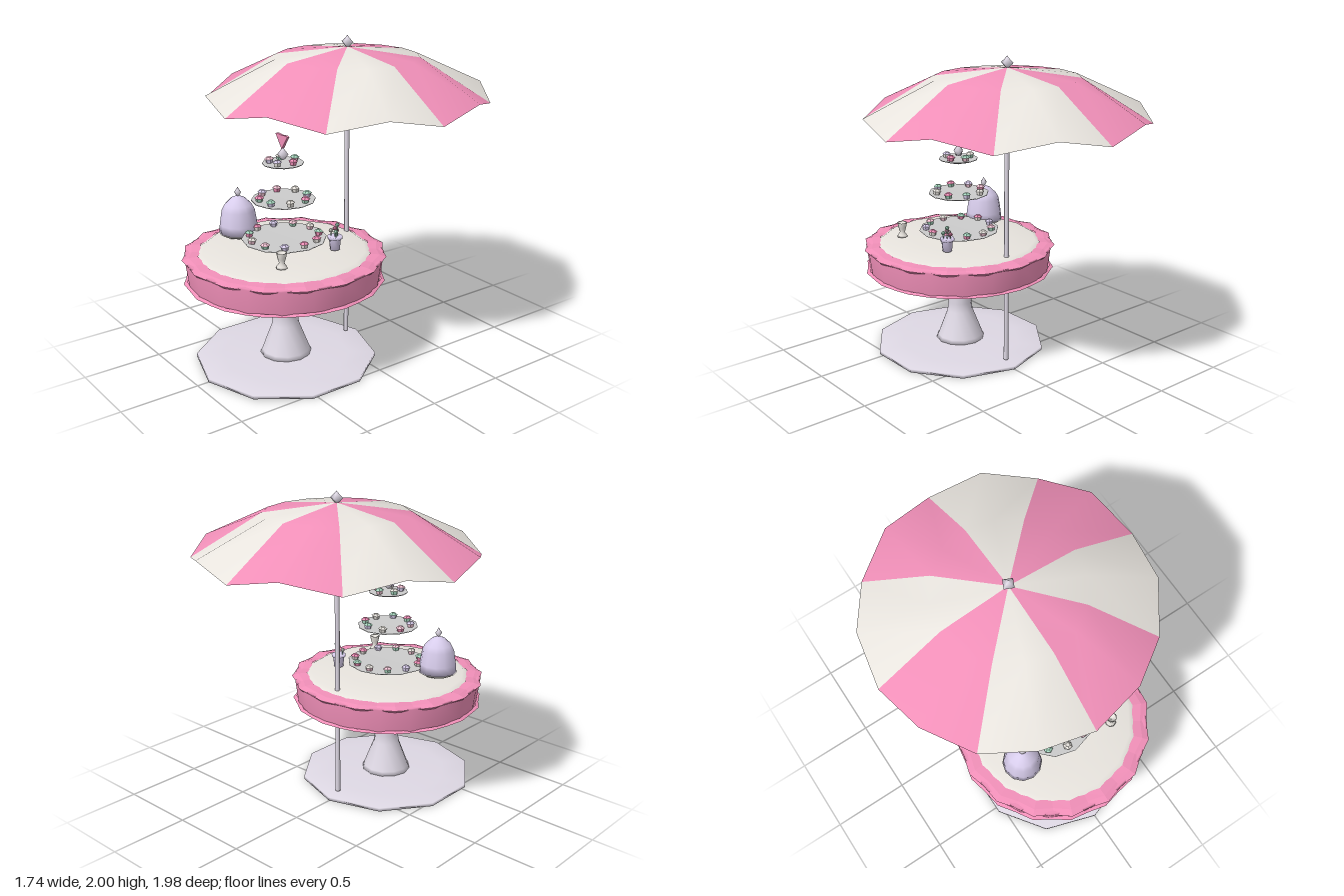
import * as THREE from 'three';

const mat = (color, flat = false) =>
  new THREE.MeshStandardMaterial({ color, flatShading: flat, side: THREE.DoubleSide });
const PINK = 0xf08fb8, CREAM = 0xe8e4de, PORCELAIN = 0xded8e4, LILAC = 0xd8cdec, MINT = 0xa8d8c0, SILVER = 0xcccccc;
const TABLE_Z = 0.36, POLE_Z = -0.12;

export function createModel() {
  const root = new THREE.Group();

  const add = (name, geo, color, x = 0, y = 0, z = 0, parent = root, flat = false) => {
    const m = new THREE.Mesh(geo, mat(color, flat));
    m.name = name;
    m.position.set(x, y, z);
    parent.add(m);
    return m;
  };
  const lathe = (pts, n) => new THREE.LatheGeometry(pts.map(p => new THREE.Vector2(...p)), n);
  const diamond = (name, y0, y1, r, x, z, n = 6) => {
    const h = y1 - y0;
    const m = add(name, lathe([[0, 0], [r * 0.45, h * 0.12], [r, h * 0.45], [r * 0.4, h * 0.75], [0, h]], n), PORCELAIN, x, y0, z);
    m.rotation.y = 0.35;
    return m;
  };

  // Base and pedestal
  add('baseDisc', lathe([[0.17, 0.033], [0.4, 0.012], [0.565, 0.004], [0.565, 0.026], [0.4, 0.036], [0.16, 0.045], [0, 0.045]], 10),
    PORCELAIN, 0, 0, TABLE_Z);
  add('pedestal', lathe([[0, 0.035], [0.165, 0.038], [0.15, 0.07], [0.085, 0.24], [0.078, 0.3], [0.072, 0.57]], 12),
    PORCELAIN, 0, 0, TABLE_Z);

  // Table drum with its cloth
  add('tableDrum', lathe([[0, 0.565], [0.59, 0.565], [0.592, 0.565], [0.612, 0.715], [0.6, 0.72], [0.4, 0.72]], 20),
    PINK, 0, 0, TABLE_Z);
  add('tableCloth', lathe([[0.54, 0.722], [0.5, 0.745], [0.3, 0.76], [0, 0.768]], 16), CREAM, 0, 0, TABLE_Z);

  // Ruffles: rings whose edges zigzag in and out
  const ruffle = (name, pts, n, amp) => {
    const g = lathe(pts, n), p = g.attributes.position;
    for (let i = 0; i < p.count; i++) {
      const j = Math.floor(i / pts.length) % n;
      const k = 1 + amp * (j % 2 ? -1 : 1);
      p.setX(i, p.getX(i) * k);
      p.setZ(i, p.getZ(i) * k);
      p.setY(i, p.getY(i) + (j % 2 ? -0.004 : 0.003));
    }
    g.computeVertexNormals();
    add(name, g, PINK, 0, 0, TABLE_Z, root, true);
  };
  ruffle('topRuffle', [[0.602, 0.7], [0.617, 0.716], [0.575, 0.728], [0.52, 0.732]], 32, 0.018);
  ruffle('hemRuffle', [[0.58, 0.562], [0.612, 0.562], [0.59, 0.572]], 32, 0.014);

  // Parasol: pole, eight panels and finial
  add('parasolPole', new THREE.CylinderGeometry(0.015, 0.015, 1.67, 8), PORCELAIN, 0, 0.88, POLE_Z);
  const parasol = new THREE.Group();
  parasol.name = 'parasol';
  parasol.position.z = POLE_Z;
  root.add(parasol);
  for (let s = 0; s < 8; s++) {
    const pos = [0, 1.93, 0], idx = [];
    // ring radius, rib height, mid-panel height
    for (const [r, yRib, yMid] of [[0.44, 1.875, 1.875], [0.868, 1.61, 1.675]]) {
      for (let k = 0; k < 3; k++) {
        const a = (s + k / 2) * Math.PI / 4;
        pos.push(r * Math.cos(a), k === 1 ? yMid : yRib, r * Math.sin(a));
      }
    }
    for (let k = 1; k < 3; k++) idx.push(0, k + 1, k, k, k + 1, k + 4, k, k + 4, k + 3);
    const g = new THREE.BufferGeometry();
    g.setAttribute('position', new THREE.Float32BufferAttribute(pos, 3));
    g.setIndex(idx);
    g.computeVertexNormals();
    add('parasolPanel', g, s % 2 ? PINK : CREAM, 0, 0, 0, parasol);
  }
  diamond('parasolFinial', 1.925, 2.0, 0.042, 0, POLE_Z, 4);

  // Three tiers of plates, each with a ring of small cakes
  const cakeColors = [PINK, CREAM, LILAC, MINT, 0xf4c6d6];
  const tiers = [[0.26, 0.805, 11], [0.195, 1.053, 8], [0.125, 1.28, 5]];
  tiers.forEach(([r, y, n], t) => {
    const tier = new THREE.Group();
    tier.name = 'cakeTier';
    tier.position.set(0, y, TABLE_Z);
    root.add(tier);
    add('plate', lathe([[0, -0.013], [r * 0.6, -0.013], [r, 0.002], [r, 0.008], [r * 0.7, 0.002], [0, 0.002]], 12),
      SILVER, 0, 0, 0, tier);
    for (let i = 0; i < n; i++) {
      const a = (i + t * 0.4) / n * Math.PI * 2, d = r - 0.045;
      const cake = new THREE.Group();
      cake.name = 'cake';
      cake.position.set(d * Math.cos(a), 0.003, d * Math.sin(a));
      cake.rotation.set(0, i * 1.3, 0.08);
      tier.add(cake);
      add('cakeCup', new THREE.CylinderGeometry(0.026, 0.019, 0.024, 6), cakeColors[(i + 1) % 5], 0, 0.014, 0, cake, true);
      add('icing', new THREE.CylinderGeometry(0.014, 0.03, 0.013, 6), cakeColors[(i * 2 + t) % 5], 0, 0.032, 0, cake, true);
    }
  });
  add('standFoot', new THREE.CylinderGeometry(0.05, 0.09, 0.035, 10), SILVER, 0, 0.78, TABLE_Z);
  diamond('middleDrop', 1.005, 1.043, 0.02, 0, TABLE_Z);
  diamond('upperDrop', 1.245, 1.272, 0.016, 0, TABLE_Z);
  diamond('standFinial', 1.3, 1.385, 0.033, 0, TABLE_Z);

  // Flat pointed topper
  const tip = new THREE.Shape([[0, 1.37], [0.062, 1.455], [0.05, 1.46], [0, 1.456], [-0.05, 1.46], [-0.062, 1.455]]
    .map(p => new THREE.Vector2(...p)));
  add('topper', new THREE.ExtrudeGeometry(tip, { depth: 0.016, bevelEnabled: false }), PINK, 0, 0, TABLE_Z - 0.008);

  // Bell cover
  add('bellCover', lathe([[0, 0.785], [0.122, 0.787], [0.117, 0.84], [0.103, 0.93], [0.085, 0.965], [0.045, 1.005], [0, 1.025]], 12),
    LILAC, -0.315, 0, 0.49);
  add('bellPlate', new THREE.CylinderGeometry(0.125, 0.1, 0.016, 12), CREAM, -0.315, 0.776, 0.49);
  diamond('bellFinial', 1.015, 1.08, 0.022, -0.315, 0.49);

  // Flower pot
  add('flowerPot', lathe([[0, 0.765], [0.03, 0.765], [0.036, 0.83], [0.046, 0.835], [0.046, 0.852], [0, 0.848]], 8), LILAC, 0.25, 0, 0.16);
  [[0, 0.9, 0, PINK], [0.022, 0.885, 0.01, MINT], [-0.024, 0.882, 0.012, CREAM], [0.008, 0.922, -0.012, MINT], [-0.01, 0.878, -0.022, PINK]]
    .forEach(([x, y, z, c]) => {
      add('stem', new THREE.CylinderGeometry(0.003, 0.003, y - 0.845, 5), MINT, 0.25 + x, (y + 0.845) / 2, 0.16 + z);
      add('blossom', new THREE.IcosahedronGeometry(0.015, 0), c, 0.25 + x, y, 0.16 + z, root, true);
    });

  // Goblet
  add('goblet', lathe([[0, 0.762], [0.036, 0.764], [0.03, 0.775], [0.016, 0.795], [0.024, 0.82], [0.033, 0.86], [0.027, 0.858], [0, 0.82]], 8),
    CREAM, 0.3, 0, 0.58);

  return root;
}
